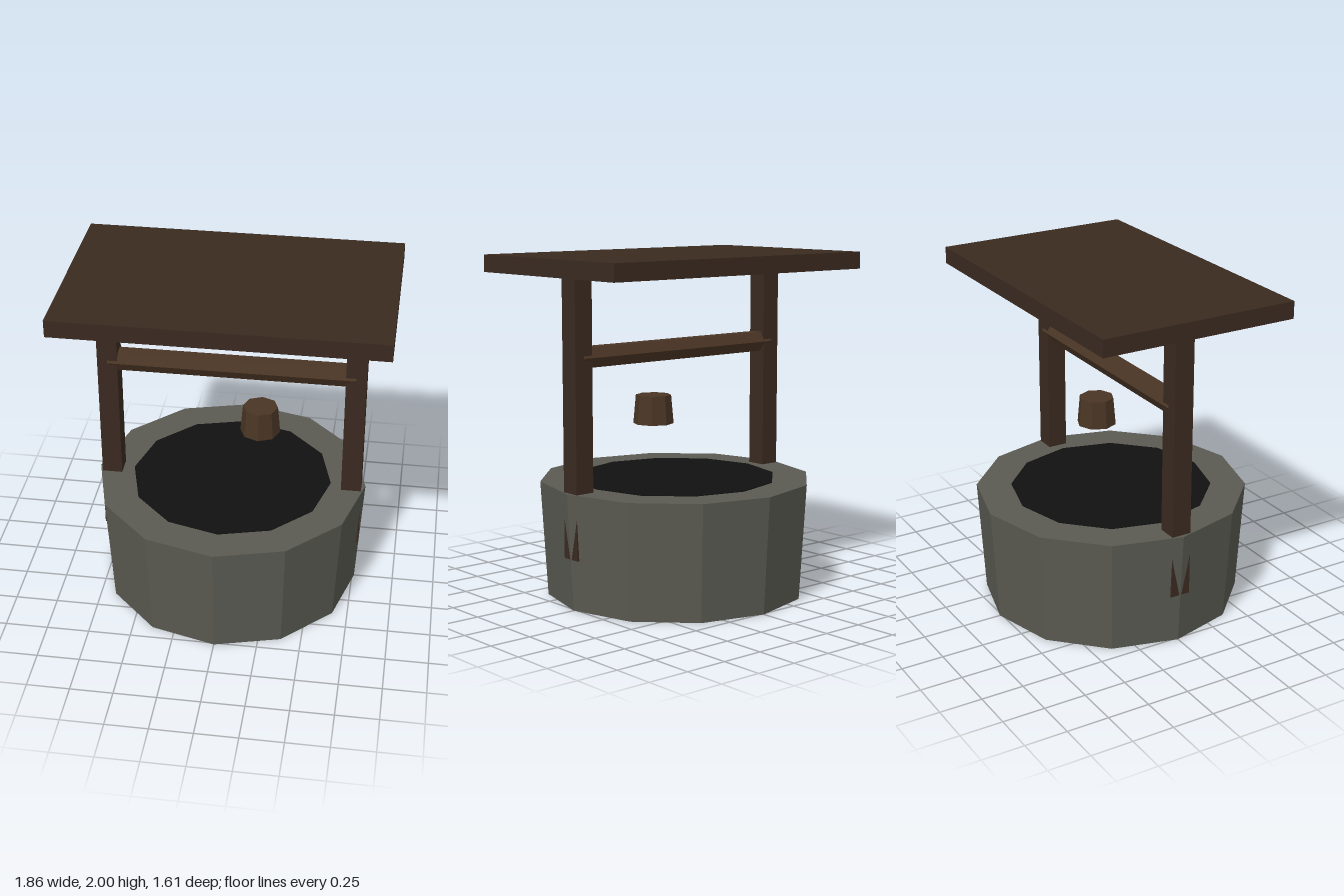
import * as THREE from 'three';

const material = (color) => new THREE.MeshStandardMaterial({ color, flatShading: true });

export function createModel() {
  const well = new THREE.Group();
  well.name = 'well';

  const stone = material(0x5a5a52);
  const darkWood = material(0x3a2a20);
  const barrelWood = material(0x4a3524);
  const water = material(0x111111);

  const add = (name, geometry, mat, x, y, z = 0) => {
    const mesh = new THREE.Mesh(geometry, mat);
    mesh.name = name;
    mesh.position.set(x, y, z);
    well.add(mesh);
    return mesh;
  };

  // Twelve-sided stone wall, slightly wider at the rim
  add('stoneWall', new THREE.CylinderGeometry(0.803, 0.763, 0.68, 12), stone, 0, 0.34);

  // Dark shaft opening lying just above the rim
  add('shaftOpening', new THREE.CylinderGeometry(0.595, 0.595, 0.02, 12), water, 0, 0.675);

  // Posts run down into the wall and break through its side near the base
  for (const side of [-1, 1]) {
    add(side > 0 ? 'leftPost' : 'rightPost',
      new THREE.BoxGeometry(0.118, 1.6, 0.118), darkWood, side * 0.72, 1.1);
  }

  // Flat roof slab
  add('roof', new THREE.BoxGeometry(1.86, 0.1, 1.186), darkWood, 0, 1.95);

  // Six-sided winding beam between the posts
  const beam = add('windingBeam',
    new THREE.CylinderGeometry(0.067, 0.067, 1.44, 6), barrelWood, 0, 1.443);
  beam.rotation.z = Math.PI / 2;

  // Bucket, wider at the bottom
  add('bucket', new THREE.CylinderGeometry(0.103, 0.118, 0.167, 8), barrelWood, 0.168, 1.103);

  return well;
}
